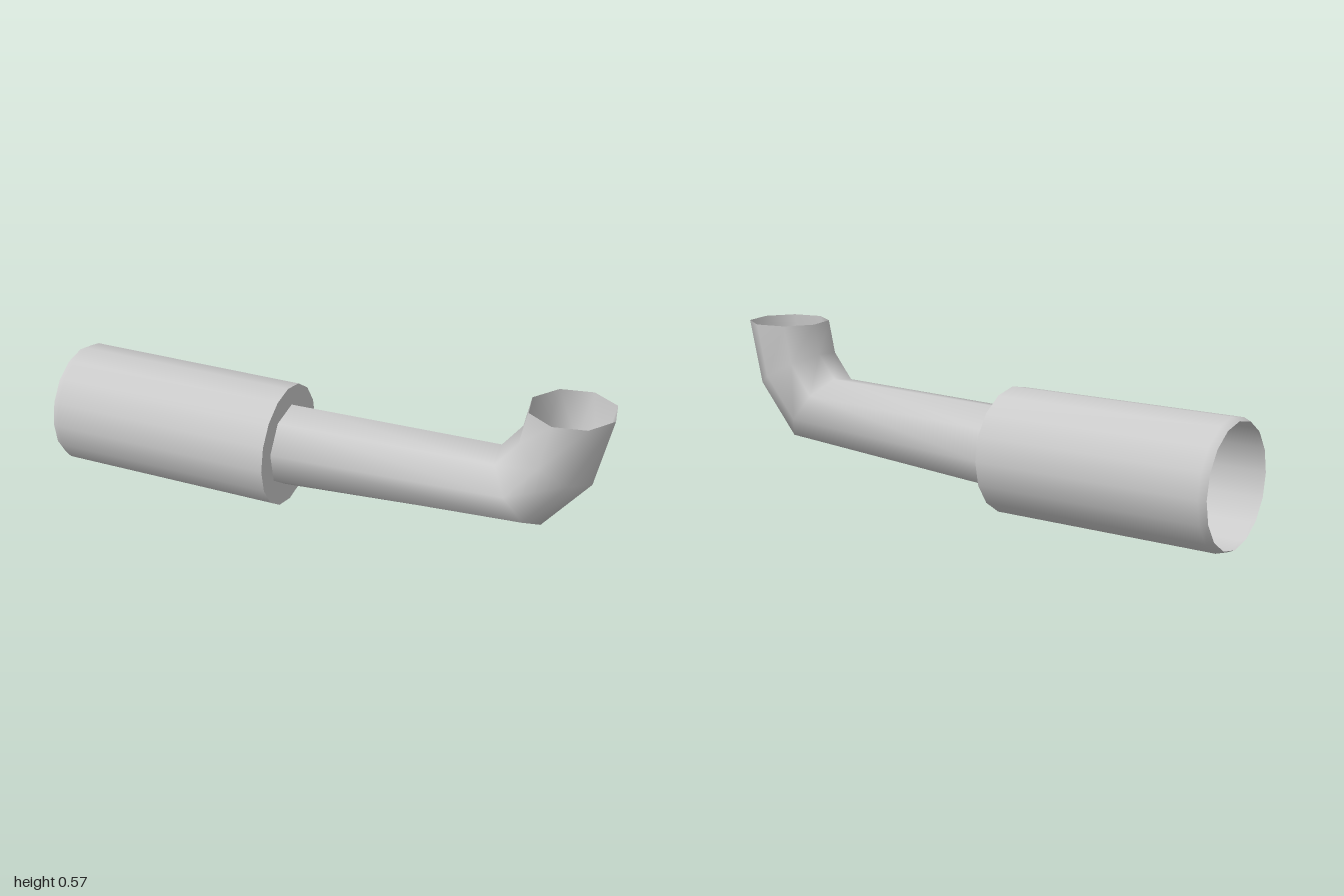
import * as THREE from 'three';

const material = new THREE.MeshStandardMaterial({ color: 0xcccccc, side: THREE.DoubleSide });

// Skins a tube through rings [centreX, centreY, tiltDegrees]; tilt is the bend from +x towards +y
function bentPipe(rings, radius, sides, twist, z0) {
  const positions = [], index = [];
  rings.forEach(([cx, cy, tilt], r) => {
    const t = THREE.MathUtils.degToRad(tilt);
    for (let i = 0; i < sides; i++) {
      const a = twist + (i / sides) * Math.PI * 2;
      const out = radius * Math.cos(a);
      positions.push(cx + out * Math.sin(t), cy - out * Math.cos(t), z0 + radius * Math.sin(a));
      if (r === rings.length - 1) continue;
      const p = r * sides + i, u = r * sides + ((i + 1) % sides);
      index.push(p, p + sides, u, u, p + sides, u + sides);
    }
  });
  const geometry = new THREE.BufferGeometry();
  geometry.setAttribute('position', new THREE.Float32BufferAttribute(positions, 3));
  geometry.setIndex(index);
  geometry.computeVertexNormals();
  return geometry;
}

export function createModel() {
  const group = new THREE.Group();
  const add = (name, geometry) => {
    const mesh = new THREE.Mesh(geometry, material);
    mesh.name = name;
    group.add(mesh);
    return mesh;
  };
  const radius = 0.219, axisY = 0.219, shoulderX = -0.155;

  // Wide sleeve, open at the far end with a small bevelled rim
  const profile = [[0.208, -1], [radius, -0.975], [radius, shoulderX]];
  const sleeve = add('sleeve', new THREE.LatheGeometry(profile.map(p => new THREE.Vector2(...p)), 16));
  sleeve.rotation.z = -Math.PI / 2;
  sleeve.position.y = axisY;

  // Flat shoulder closing the sleeve around the pipe
  const shoulder = add('shoulder', new THREE.CircleGeometry(radius, 16));
  shoulder.rotation.y = Math.PI / 2;
  shoulder.position.set(shoulderX, axisY, 0);

  // Eight-sided pipe with an upturned open mouth
  const rings = [[shoulderX, 0.22, 0], [0.7, 0.26, 35], [0.815, 0.398, 63], [0.855, 0.573, 90]];
  add('elbowPipe', bentPipe(rings, 0.148, 8, THREE.MathUtils.degToRad(11), 0.003));

  return group;
}
